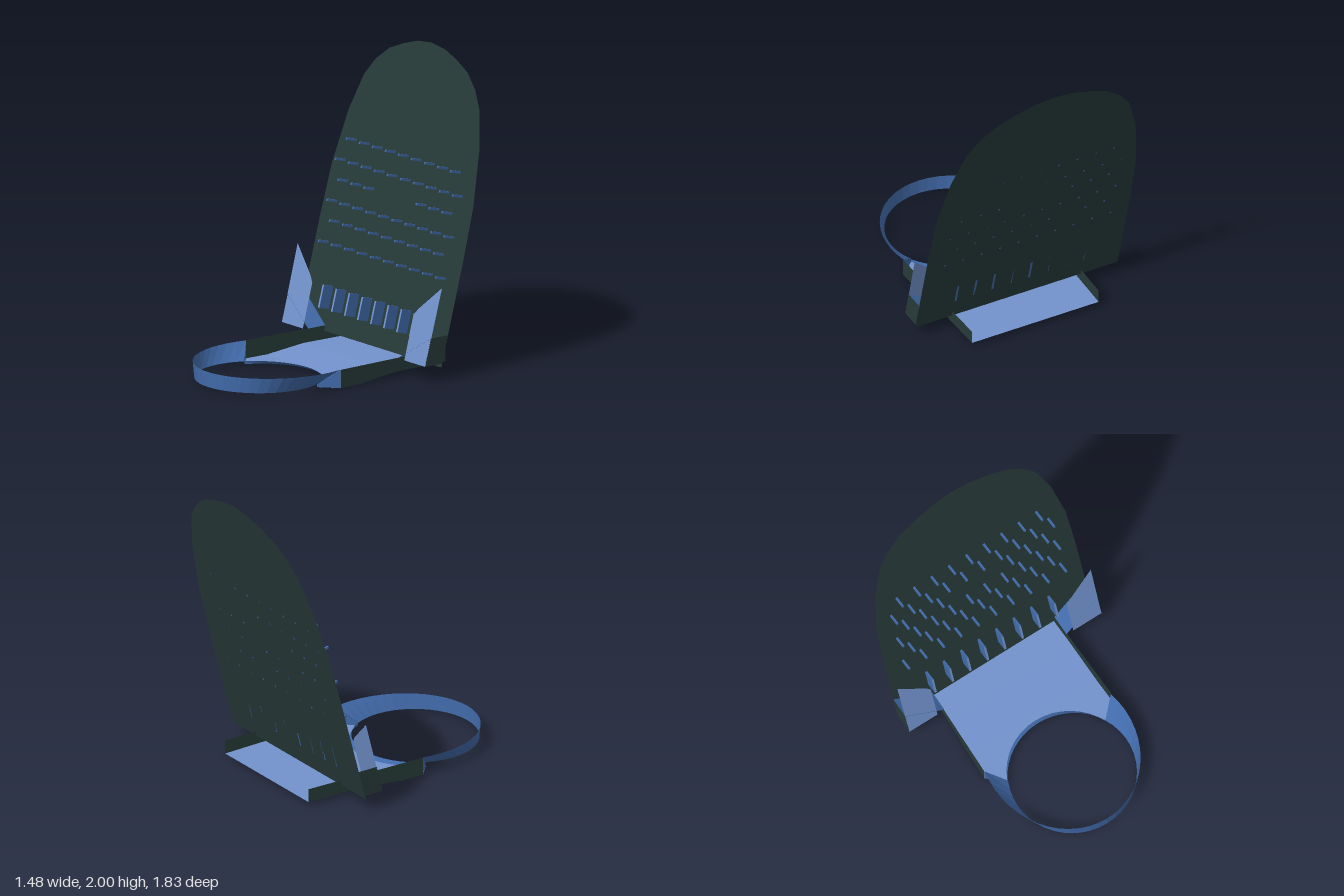
import * as THREE from 'three';

const mat = (name, color) => {
  const m = new THREE.MeshStandardMaterial({ color, side: THREE.DoubleSide, flatShading: true });
  m.name = name;
  return m;
};

// Leaning plane of the back panel
const SLOPE = 0.266, TILT = Math.atan(SLOPE);
const panelZ = (y) => -0.41 - SLOPE * (y - 0.1);

// Open surface lofted between rows of points
function loft(rows) {
  const n = rows[0].length, idx = [];
  for (let r = 0; r < rows.length - 1; r++) {
    for (let i = 0; i < n - 1; i++) {
      const a = r * n + i, b = a + n;
      idx.push(a, b, a + 1, a + 1, b, b + 1);
    }
  }
  const g = new THREE.BufferGeometry();
  g.setAttribute('position', new THREE.Float32BufferAttribute(rows.flat(2), 3));
  g.setIndex(idx);
  g.computeVertexNormals();
  return g;
}

// Flat outline in x,y laid onto the leaning plane, moved forward by offset
function leaningSheet(points, offset) {
  const g = new THREE.ShapeGeometry(new THREE.Shape(points.map(([x, y]) => new THREE.Vector2(x, y))));
  const p = g.attributes.position;
  for (let i = 0; i < p.count; i++) p.setZ(i, panelZ(p.getY(i)) + offset);
  g.computeVertexNormals();
  return g;
}

export function createModel() {
  const dark = mat('dark green', 0x263a38);
  const light = mat('light blue', 0x7292cc);
  const blue = mat('mid blue', 0x4069a8);
  const model = new THREE.Group();
  model.name = 'chair';
  const add = (name, geometry, material, parent = model) => {
    const m = new THREE.Mesh(geometry, material);
    m.name = name;
    parent.add(m);
    return m;
  };

  // Back panel with a rounded top
  const half = [[0.735, 0.085], [0.735, 0.75], [0.725, 1.1], [0.67, 1.45], [0.59, 1.69],
    [0.51, 1.8], [0.4, 1.89], [0.27, 1.945], [0.14, 1.985]];
  const mirrored = half.map(([x, y]) => [-x, y]).reverse();
  add('backPanel', leaningSheet([...half, [0, 2], ...mirrored], 0), dark);

  // Pins and fins standing out from the panel
  const studs = new THREE.Group();
  studs.name = 'studs';
  model.add(studs);
  const pinGeo = new THREE.BoxGeometry(0.014, 0.015, 0.08);
  const finGeo = new THREE.BoxGeometry(0.015, 0.15, 0.08);
  const stud = (name, geo, material, x, y) => {
    const m = add(name, geo, material, studs);
    m.position.set(x, y + 0.04 * Math.sin(TILT), panelZ(y) + 0.04 * Math.cos(TILT));
    m.rotation.x = -TILT;
  };
  const STEP = 0.1335;
  const row = (count) => Array.from({ length: count }, (_, i) =>
    (i - (count - 1) / 2) * STEP - 0.005);
  const nine = row(9), ten = row(10);
  const pinRows = [[1.28, nine], [1.14, ten], [1.02, nine.filter((x) => Math.abs(x) > 0.2)],
    [0.88, ten], [0.76, nine], [0.62, ten]];
  for (const [y, xs] of pinRows) for (const x of xs) stud('pin', pinGeo, blue, x, y);
  for (const x of row(8)) stud('fin', finGeo, [blue, blue, blue, blue, light, blue], x, 0.295);

  // Seat channel floor
  const halfW = (z) => 0.46 + (z + 0.66) * 0.0284;
  const floorRows = [[-0.66, 0.03], [-0.24, 0.03], [0.05, 0]];
  add('seatFloor', loft(floorRows.map(([z, y]) => [[-halfW(z), y, z], [halfW(z), y, z]])), light);

  // Front of the floor, with the round bite
  const arc = (c, y, n = 16) => {
    const r = Math.hypot(0.375, 0.32 - c), a0 = Math.atan2(0.375, c - 0.32);
    return Array.from({ length: n + 1 }, (_, i) => {
      const a = a0 * (2 * i / n - 1);
      return [r * Math.sin(a), y, c - r * Math.cos(a)];
    });
  };
  const bite = arc(0.476, 0);
  const edge = [[0.485, 0.22], [halfW(0.05), 0.05], [-halfW(0.05), 0.05], [-0.485, 0.22]];
  const frontShape = new THREE.Shape(
    [...bite.map(([x, , z]) => [x, z]), ...edge].map(([x, z]) => new THREE.Vector2(x, -z)));
  add('seatFront', new THREE.ShapeGeometry(frontShape).rotateX(-Math.PI / 2), light);
  add('seatLip', loft([bite, arc(0.53, 0.02)]), blue);

  // Flared ring: wide rim above, round edge below
  const upper = [], lower = [];
  const SEG = 28, u0 = -0.255, l0 = -0.458;
  for (let i = 0; i <= SEG; i++) {
    const t = i / SEG;
    const u = u0 + t * (Math.PI - 2 * u0), l = l0 + t * (Math.PI - 2 * l0);
    upper.push([0.497 * Math.cos(u), 0.12, 0.36 + 0.555 * Math.sin(u)]);
    lower.push([0.415 * Math.cos(l), 0.02, 0.503 + 0.41 * Math.sin(l)]);
  }
  add('ring', loft([upper, lower]), blue);

  // Parts on both sides
  for (const s of [1, -1]) {
    const side = new THREE.Group();
    side.name = s > 0 ? 'leftSide' : 'rightSide';
    model.add(side);

    const wallRows = [...floorRows, [0.22, 0]];
    add('seatWall', loft(wallRows.map(([z, y]) =>
      [[s * halfW(z), y, z], [s * halfW(z), 0.12, z]])), dark, side);

    add('gusset', loft([
      [[s * 0.483, 0.12, 0.22], [s * 0.483, 0, 0.22]],
      [[s * 0.373, 0.02, 0.32], [s * 0.373, 0, 0.32]]]), blue, side);

    // Front flap, sloping bracket and its outer wall
    add('flap', leaningSheet([[0.735, 0.11], [0.74, 0.61], [0.55, 0.44], [0.52, 0.40], [0.52, 0.11]]
      .map(([x, y]) => [s * x, y]), 0.138), light, side);
    add('bracket', loft([
      [[s * 0.735, 0.29, -0.32], [s * 0.735, 0.29, -0.46]],
      [[s * 0.467, 0.12, -0.275], [s * 0.467, 0.12, -0.415]]]), blue, side);
    add('bracketWall', loft([
      [[s * 0.735, 0.29, -0.32], [s * 0.735, 0.29, -0.46]],
      [[s * 0.735, 0.11, -0.273], [s * 0.735, 0.11, -0.413]]]), dark, side);
  }
  return model;
}
